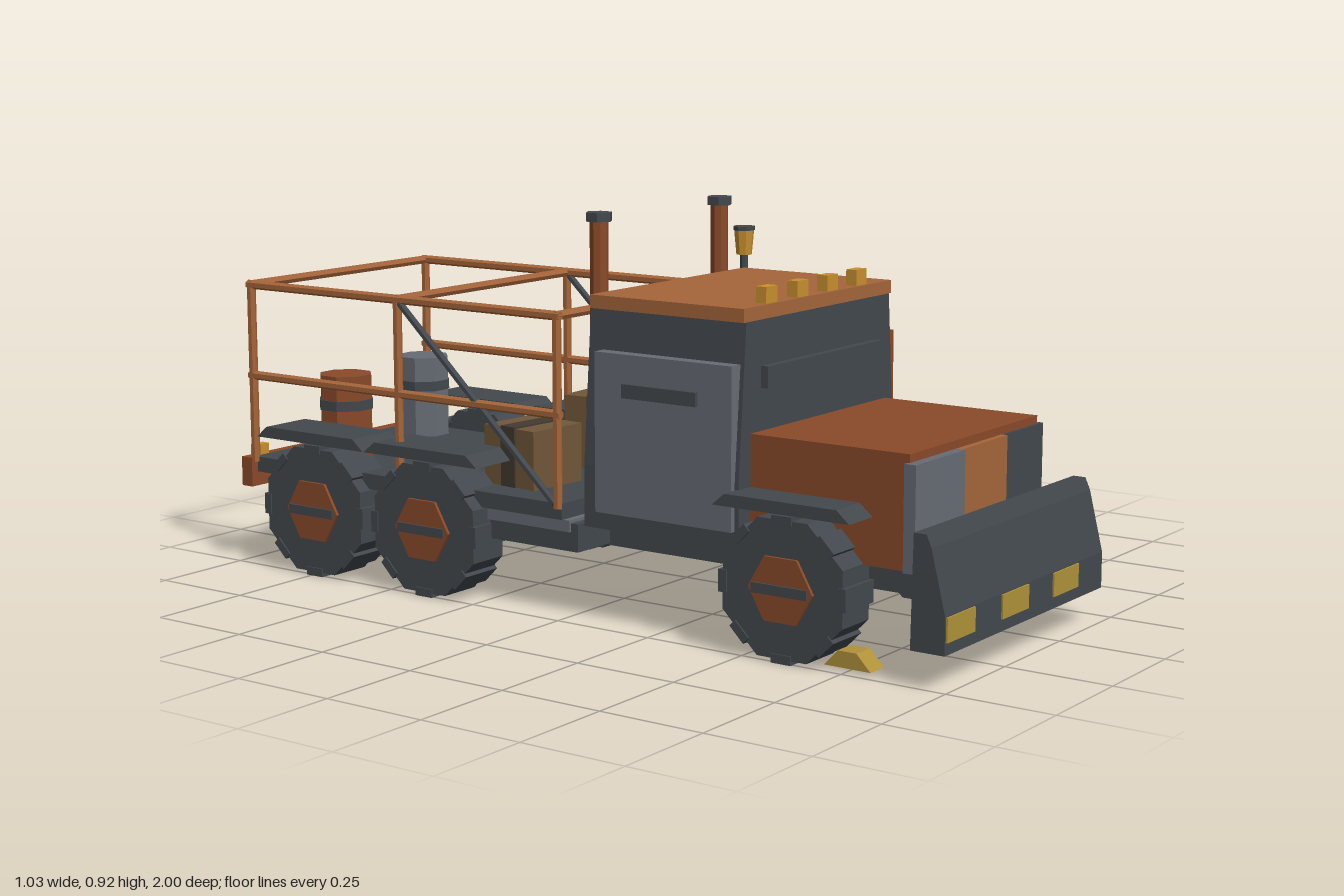
import * as THREE from 'three';

const mat = (name, color) => {
  const m = new THREE.MeshStandardMaterial({ color });
  m.name = name;
  return m;
};

export function createModel() {
  const dark = mat('dark steel', 0x42484d);
  const rust = mat('rust paint', 0x8a4a2a);
  const orange = mat('orange paint', 0xa5653a);
  const grey = mat('grey metal', 0x666c74);
  const yellow = mat('hazard yellow', 0xb0923a);
  const amber = mat('amber lamp', 0xc8902f);
  const wood = mat('crate brown', 0x705739);
  const green = mat('crate green', 0x596140);
  const strap = mat('strap brown', 0x443a33);

  const model = new THREE.Group();
  model.name = 'utilityTruck';
  const CX = -0.15; // centre line of the truck

  const add = (name, geo, m, parent = model) => {
    const mesh = new THREE.Mesh(geo, m);
    mesh.name = name;
    parent.add(mesh);
    return mesh;
  };
  // Box given by its limits
  const box = (name, m, x0, x1, y0, y1, z0, z1, parent) => {
    const b = add(name, new THREE.BoxGeometry(x1 - x0, y1 - y0, z1 - z0), m, parent);
    b.position.set((x0 + x1) / 2, (y0 + y1) / 2, (z0 + z1) / 2);
    return b;
  };
  // Faceted upright prism
  const prism = (rTop, rBottom, h, sides) => {
    const g = new THREE.CylinderGeometry(rTop, rBottom, h, sides).toNonIndexed();
    g.computeVertexNormals();
    return g;
  };
  const post = (name, m, x, y0, y1, z, r0, r1 = r0, sides = 8, parent) => {
    const p = add(name, prism(r1, r0, y1 - y0, sides), m, parent);
    p.position.set(x, (y0 + y1) / 2, z);
    return p;
  };
  // Side profile of [z, y] points, extruded from x0 to x1
  const profile = (name, m, pts, x0, x1) => {
    const shape = new THREE.Shape(pts.map(p => new THREE.Vector2(p[0], p[1])));
    const g = new THREE.ExtrudeGeometry(shape, { depth: x1 - x0, bevelEnabled: false });
    g.rotateY(-Math.PI / 2).translate(x1, 0, 0);
    return add(name, g, m);
  };
  // Straight tube between two points
  const tube = (name, m, a, b, r, sides = 6) => {
    const A = new THREE.Vector3(...a), B = new THREE.Vector3(...b);
    const d = B.clone().sub(A);
    const t = add(name, prism(r, r, d.length(), sides), m);
    t.position.copy(A).addScaledVector(d, 0.5);
    t.quaternion.setFromUnitVectors(new THREE.Vector3(0, 1, 0), d.normalize());
    return t;
  };

  // Chassis, cargo bed and under-bed boxes
  box('chassis', dark, -0.33, 0.03, 0.145, 0.225, -0.955, 0.845);
  box('cargoBed', dark, -0.47, 0.17, 0.225, 0.262, -0.97, -0.01);
  for (const s of [-1, 1]) {
    const x = CX + s * 0.24;
    box('sideBox', dark, x - 0.06, x + 0.06, 0.15, 0.215, -0.235, 0.02);
    box('sideBoxLid', grey, x - 0.065, x + 0.065, 0.195, 0.222, -0.24, -0.0);
  }

  // Hood and patched grille
  box('hood', rust, -0.425, 0.13, 0.22, 0.468, 0.47, 0.865);
  box('grilleGrey', grey, -0.44, -0.235, 0.22, 0.45, 0.86, 0.888);
  box('grilleOrange', orange, -0.235, -0.035, 0.22, 0.45, 0.86, 0.88);
  box('grilleDark', dark, -0.035, 0.145, 0.22, 0.45, 0.86, 0.872);

  // Cab with tapering sides
  const cabShape = new THREE.Shape([[-0.32, 0.22], [0.32, 0.22], [0.32, 0.36], [0.292, 0.71], [-0.292, 0.71], [-0.32, 0.36]]
    .map(p => new THREE.Vector2(p[0], p[1])));
  const cab = add('cab', new THREE.ExtrudeGeometry(cabShape, { depth: 0.415, bevelEnabled: false }), dark);
  cab.position.set(CX, 0, 0.055);
  box('roof', orange, -0.452, 0.152, 0.71, 0.74, 0.06, 0.47);
  box('windshieldSlit', dark, -0.385, 0.085, 0.562, 0.61, 0.465, 0.488);
  for (const x of [-0.333, -0.21, -0.088, 0.034]) box('roofLamp', amber, x - 0.022, x + 0.022, 0.74, 0.776, 0.435, 0.462);

  for (const s of [-1, 1]) {
    const out = (a, b) => [CX + s * a, CX + s * b].sort((p, q) => p - q);
    // Doors and door slits
    box('door', s > 0 ? rust : grey, ...out(0.3, 0.333), 0.26, 0.62, 0.095, 0.46);
    box('doorSlit', dark, ...out(0.32, 0.342), 0.525, 0.556, 0.175, 0.372);
    // Exhaust stacks
    post('exhaust', rust, CX + s * 0.235, 0.24, 0.9, 0.035, 0.021);
    post('exhaustCap', dark, CX + s * 0.235, 0.895, 0.915, 0.035, 0.031, 0.031, 6);
    // Fenders and wheels
    for (const z of [0.605, -0.392, -0.74]) {
      profile('fender', dark, [[z - 0.172, 0.325], [z + 0.172, 0.325], [z + 0.14, 0.352], [z - 0.14, 0.352]], ...out(0.235, 0.367));
      const wheel = new THREE.Group();
      wheel.name = 'wheel';
      wheel.position.set(CX + s * 0.303, 0.16, z);
      model.add(wheel);
      const tyre = add('tyre', prism(0.163, 0.163, 0.105, 8).rotateY(Math.PI / 8).rotateZ(Math.PI / 2), dark, wheel);
      tyre.position.x = 0;
      for (let i = 0; i < 8; i++) {
        const a = i * Math.PI / 4;
        const lug = add('treadLug', new THREE.BoxGeometry(0.112, 0.02, 0.05), dark, wheel);
        lug.position.set(0, Math.cos(a) * 0.15, Math.sin(a) * 0.15);
        lug.rotation.x = a;
      }
      const hub = add('hub', prism(0.081, 0.081, 0.02, 6).rotateY(Math.PI / 2).rotateZ(Math.PI / 2), rust, wheel);
      hub.rotation.x = Math.PI / 2;
      hub.position.x = s * 0.05;
      const bar = add('hubBar', new THREE.BoxGeometry(0.012, 0.022, 0.14), dark, wheel);
      bar.position.x = s * 0.06;
    }
    // Front wheel chocks
    const c = CX + s * 0.303;
    profile('wheelChock', yellow, [[0.695, 0.008], [0.81, 0.008], [0.775, 0.044], [0.73, 0.044]], c - 0.027, c + 0.027);
    // Side rails, posts and braces
    const rx = CX + s * 0.32;
    for (const z of [-0.02, -0.492, -0.965]) tube('railPost', orange, [rx, 0.25, z], [rx, 0.69, z], 0.011);
    for (const y of [0.465, 0.688]) tube('sideRail', orange, [rx, y, -0.01], [rx, y, -0.975], 0.011);
    tube('railBrace', dark, [rx, 0.26, -0.03], [rx, 0.68, -0.485], 0.009);
  }
  for (const z of [-0.02, -0.492, -0.965]) tube('crossRail', orange, [-0.475, 0.688, z], [0.175, 0.688, z], 0.011);

  // Plough blade with hazard plates
  profile('ploughBlade', dark, [[0.915, 0.078], [1.0 - 0.004, 0.078], [0.996, 0.16], [0.962, 0.298], [0.95, 0.325], [0.92, 0.325]], -0.5, 0.205);
  for (const x of [-0.496, -0.263, -0.032]) box('bladeStripe', yellow, x, x + 0.116, 0.105, 0.158, 0.994, 1.0);
  for (const x of [-0.3, 0]) box('bladeArm', dark, x - 0.03, x + 0.03, 0.15, 0.22, 0.83, 0.93);

  // Rear bumper with hazard plates and lamps
  box('rearBumper', rust, -0.49, 0.185, 0.19, 0.262, -0.994, -0.96);
  for (let i = 0; i < 7; i++) {
    const x = -0.48 + i * 0.094;
    box('bumperStripe', i % 2 ? dark : yellow, x, x + 0.094, 0.197, 0.25, -1.0, -0.992);
  }
  for (const x of [-0.44, 0.14]) box('rearLamp', amber, x - 0.02, x + 0.02, 0.262, 0.288, -0.992, -0.97);

  // Banded barrels
  const barrel = (m, x, z, r, y0, y1) => {
    const h = y1 - y0;
    post('barrel', m, x, y0, y1, z, r).rotation.y = Math.PI / 8;
    post('barrelBand', dark, x, y0 + h * 0.58, y0 + h * 0.7, z, r * 1.05).rotation.y = Math.PI / 8;
  };
  barrel(rust, -0.32, -0.8, 0.066, 0.262, 0.465);
  barrel(grey, 0.012, -0.84, 0.066, 0.262, 0.465);
  barrel(rust, 0.425, 0.08, 0.056, 0.02, 0.19);

  // Strapped crates
  const crate = (m, band, x, z, w, d, y0, y1, turn) => {
    const g = new THREE.Group();
    g.name = 'crate';
    g.position.set(x, 0, z);
    g.rotation.y = turn;
    box('crateBody', m, -w / 2, w / 2, y0, y1, -d / 2, d / 2, g);
    box('crateStrap', band, -w / 2 - 0.004, w / 2 + 0.004, y0, y1 + 0.004, -d * 0.14, d * 0.14, g);
    model.add(g);
  };
  crate(wood, strap, -0.31, -0.22, 0.16, 0.16, 0.262, 0.4, -0.1);
  crate(wood, strap, -0.015, -0.19, 0.19, 0.19, 0.262, 0.435, 0.05);
  crate(wood, strap, 0.325, 0.07, 0.14, 0.135, 0.02, 0.143, 0.06);
  crate(green, dark, 0.42, -0.075, 0.12, 0.12, 0.02, 0.122, -0.12);
  crate(green, dark, 0.325, -0.085, 0.09, 0.1, 0.02, 0.1, 0);

  // Ground pallet and warning pole
  box('pallet', grey, 0.245, 0.49, 0.008, 0.02, -0.17, 0.16);
  box('poleBase', grey, 0.423, 0.51, 0.008, 0.037, -0.197, -0.113);
  const px = 0.467, pz = -0.153;
  post('pole', dark, px, 0.03, 0.74, pz, 0.01);
  for (const y of [0.14, 0.31, 0.478]) post('poleBand', yellow, px, y, y + 0.057, pz, 0.0125);
  post('beacon', amber, px, 0.728, 0.792, pz, 0.02, 0.026);
  post('beaconCap', dark, px, 0.79, 0.8, pz, 0.028);
  profile('flag', yellow, [[pz, 0.61], [pz, 0.695], [-0.02, 0.655]].reverse(), px - 0.003, px + 0.003);

  return model;
}
